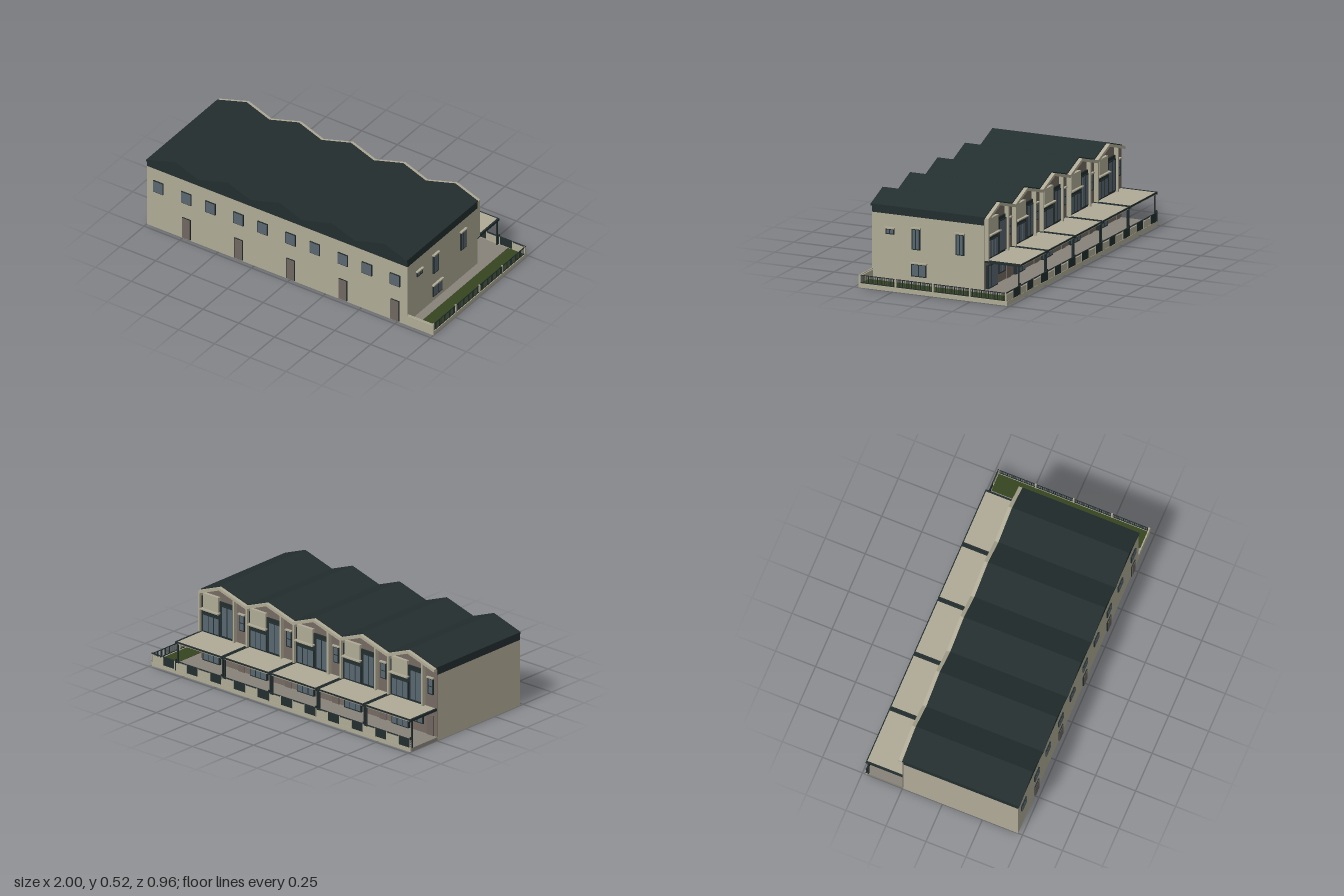
import * as THREE from 'three';

const colours = {
  render: 0xb0ab96, roof: 0x232e2f, glass: 0x596770, door: 0x70665f,
  brick: 0x756b62, terrace: 0x87837a, grass: 0x37451f,
};
const M = {};
for (const [name, color] of Object.entries(colours)) {
  M[name] = new THREE.MeshStandardMaterial({ color });
  M[name].name = name;
}

const UNITS = 5, PITCH = 0.364, PEAK = 0.206, LEFT = -1, RIGHT = 0.82;
const FRONT = 0.472, BACK = -0.245, EDGE = -0.48;

// Box given by its limits on each axis
function box(parent, name, mat, x0, x1, y0, y1, z0, z1) {
  const m = new THREE.Mesh(new THREE.BoxGeometry(x1 - x0, y1 - y0, z1 - z0), mat);
  m.position.set((x0 + x1) / 2, (y0 + y1) / 2, (z0 + z1) / 2);
  m.name = name;
  parent.add(m);
  return m;
}

// Zigzag ridge line of the terrace, shifted by dy
function ridgeLine(dy) {
  const pts = [[LEFT, 0.457 + dy]];
  for (let i = 0; i < UNITS; i++) {
    pts.push([LEFT + i * PITCH + PEAK, 0.52 + dy], [LEFT + (i + 1) * PITCH, 0.459 + dy]);
  }
  return pts;
}

// Solid between the ridge line and either a flat base or a parallel line
function zigzag(parent, name, mat, dyTop, bottom, z0, z1) {
  const top = ridgeLine(dyTop);
  const low = Array.isArray(bottom) ? bottom : [[LEFT, bottom], [RIGHT, bottom]];
  const shape = new THREE.Shape([...top, ...low.slice().reverse()].map(p => new THREE.Vector2(p[0], p[1])));
  const m = new THREE.Mesh(new THREE.ExtrudeGeometry(shape, { depth: z1 - z0, bevelEnabled: false }), mat);
  m.position.z = z0;
  m.name = name;
  parent.add(m);
}

// Window facing +z, centred on x = 0 with its foot at y = 0
function makeWindow(name, w, h, { panes = 1, rows = 1, border = 0.006, depth = 0.008, lintel = false } = {}) {
  const g = new THREE.Group();
  g.name = name;
  box(g, 'frame', M.roof, -w / 2, w / 2, 0, h, 0, depth);
  const pw = (w - border * (panes + 1)) / panes, ph = (h - border * (rows + 1)) / rows;
  for (let i = 0; i < panes; i++) for (let j = 0; j < rows; j++) {
    const x = -w / 2 + border + i * (pw + border), y = border + j * (ph + border);
    box(g, 'pane', M.glass, x, x + pw, y, y + ph, depth - 0.002, depth + 0.001);
  }
  if (lintel) box(g, 'lintel', M.render, -w / 2 - 0.005, w / 2 + 0.005, h, h + 0.008, 0, 0.015);
  return g;
}

function place(parent, g, x, y, z, turn = 0) {
  g.position.set(x, y, z);
  g.rotation.y = turn;
  parent.add(g);
}

function buildShell(root) {
  const g = new THREE.Group();
  g.name = 'terraceHouses';
  root.add(g);
  box(g, 'walls', M.render, LEFT, RIGHT, 0, 0.41, BACK, FRONT);
  zigzag(g, 'roofBody', M.roof, -0.004, 0.41, BACK, FRONT);
  zigzag(g, 'roofTiles', M.roof, 0, ridgeLine(-0.012), -0.252, 0.48);

  // Front windows and doors
  for (let i = 0; i < UNITS; i++) {
    const x = LEFT + i * PITCH;
    for (const dx of [0.083, 0.278])
      place(g, makeWindow('frontWindow', 0.07, 0.078, { border: 0.003 }), x + dx, 0.252, FRONT);
    box(g, 'doorFrame', M.roof, x + 0.249, x + 0.307, 0.008, 0.148, FRONT, FRONT + 0.006);
    box(g, 'frontDoor', M.door, x + 0.252, x + 0.304, 0.008, 0.145, FRONT, FRONT + 0.008);
  }

  // End wall windows: z, foot, width, height, panes
  for (const [z, y, w, h, panes] of [
    [0.355, 0.29, 0.054, 0.033, 2], [0.188, 0.215, 0.052, 0.126, 2],
    [-0.094, 0.215, 0.052, 0.126, 2], [0.17, 0.055, 0.095, 0.076, 2],
  ]) place(g, makeWindow('endWindow', w, h, { panes, lintel: true }), RIGHT, y, z, Math.PI / 2);
}

function buildBackFacade(root) {
  const g = new THREE.Group();
  g.name = 'gardenFacade';
  root.add(g);
  zigzag(g, 'brickWall', M.brick, -0.012, 0.025, BACK - 0.004, BACK);
  zigzag(g, 'gableTrim', M.render, -0.006, ridgeLine(-0.024), -0.275, -0.252);
  const z = BACK - 0.004;
  for (let i = 0; i < UNITS; i++) {
    const x = LEFT + i * PITCH;
    // Pilasters of the projecting bay
    for (const [dx, top] of [[0.088, 0.47], [0.352, 0.445]])
      box(g, 'pilaster', M.render, x + dx, x + dx + 0.012, 0.2, top, -0.275, z);
    // Dark cladding with glazing and a pale upper panel
    box(g, 'bayCladding', M.roof, x + 0.1, x + 0.352, 0.2, 0.42, -0.258, z);
    place(g, makeWindow('bayWindow', 0.09, 0.19, { panes: 2 }), x + 0.15, 0.21, -0.256, Math.PI);
    place(g, makeWindow('bayDoor', 0.13, 0.11, { panes: 3 }), x + 0.275, 0.205, -0.256, Math.PI);
    box(g, 'bayPanel', M.render, x + 0.216, x + 0.334, 0.335, 0.445, -0.268, z);
    box(g, 'bayPanelSill', M.render, x + 0.206, x + 0.344, 0.345, 0.352, -0.284, z);
    // Narrow window in the brickwork
    place(g, makeWindow('sideWindow', 0.04, 0.1, { rows: 2, lintel: true }), x + 0.045, 0.28, z, Math.PI);
    // Ground floor openings
    place(g, makeWindow('patioDoor', 0.13, 0.14, { panes: 3, depth: 0.014 }), x + 0.275, 0.025, z, Math.PI);
    place(g, makeWindow('kitchenWindow', 0.09, 0.08, { panes: 2, depth: 0.01, lintel: true }), x + 0.145, 0.08, z, Math.PI);
    box(g, 'gardenDoor', M.door, x + 0.025, x + 0.075, 0.025, 0.15, z - 0.006, z);
  }
}

function buildCanopies(root) {
  const g = new THREE.Group();
  g.name = 'canopies';
  root.add(g);
  for (let i = 0; i < UNITS; i++) {
    const x0 = LEFT + i * PITCH, x1 = x0 + PITCH - 0.006;
    box(g, 'canopyPanel', M.render, x0 + 0.011, x1 - 0.009, 0.185, 0.199, EDGE + 0.006, z0());
    for (const x of [x0, x1 - 0.01]) {
      box(g, 'canopyBeam', M.roof, x, x + 0.011, 0.186, 0.201, EDGE, z0());
      box(g, 'canopyPost', M.roof, x, x + 0.008, 0.02, 0.188, -0.468, -0.46);
    }
    box(g, 'canopyEdge', M.roof, x0, x1, 0.192, 0.201, EDGE, EDGE + 0.006);
  }
  function z0() { return BACK - 0.004; }
}

function buildGrounds(root) {
  const g = new THREE.Group();
  g.name = 'grounds';
  root.add(g);
  box(g, 'backTerrace', M.terrace, LEFT, 0.88, 0, 0.022, EDGE + 0.008, BACK);
  box(g, 'sidePath', M.terrace, RIGHT, 0.88, 0, 0.022, BACK, 0.465);
  box(g, 'lawn', M.grass, 0.88, 0.992, 0, 0.024, EDGE + 0.008, 0.465);
  box(g, 'sideKerb', M.render, 0.992, 1, 0, 0.025, EDGE, 0.472);
  box(g, 'backKerb', M.render, LEFT, 0.992, 0, 0.025, EDGE, EDGE + 0.008);
  box(g, 'frontGardenWall', M.render, RIGHT, 1, 0, 0.066, 0.464, FRONT);
  box(g, 'frontGardenRail', M.render, RIGHT, 1, 0.07, 0.075, 0.465, 0.471);

  // Side railing with posts and balusters
  for (const y of [0.028, 0.072]) box(g, 'sideRail', M.roof, 0.994, 0.998, y, y + 0.004, EDGE, 0.465);
  for (const z of [0.465, 0.235, -0.005, -0.241, -0.474])
    box(g, 'sidePost', M.render, 0.99, 1, 0, 0.077, z - 0.005, z + 0.005);
  for (let z = -0.466; z < 0.46; z += 0.0115)
    box(g, 'baluster', M.roof, 0.9945, 0.9975, 0.028, 0.074, z, z + 0.003);

  // Back fence of alternating dark and pale panels
  const n = 22, step = 2 / n;
  for (let i = 0; i < n; i++) {
    const x = LEFT + i * step, dark = i % 2 === 0;
    box(g, 'fencePanel', dark ? M.roof : M.render, x + 0.006, x + step, 0.025, dark ? 0.075 : 0.066, EDGE + 0.002, EDGE + 0.006);
    box(g, 'fencePost', M.render, x, x + 0.006, 0.02, 0.078, EDGE, EDGE + 0.008);
  }
  box(g, 'fenceRail', M.roof, LEFT, 1, 0.074, 0.079, EDGE + 0.001, EDGE + 0.007);
  for (let i = 0; i <= UNITS; i++) {
    const x = Math.min(LEFT + i * PITCH, RIGHT - 0.01);
    box(g, 'gatePost', M.roof, x, x + 0.008, 0.02, 0.09, EDGE, EDGE + 0.008);
  }
}

export function createModel() {
  const root = new THREE.Group();
  root.name = 'rowOfHouses';
  buildShell(root);
  buildBackFacade(root);
  buildCanopies(root);
  buildGrounds(root);
  return root;
}
